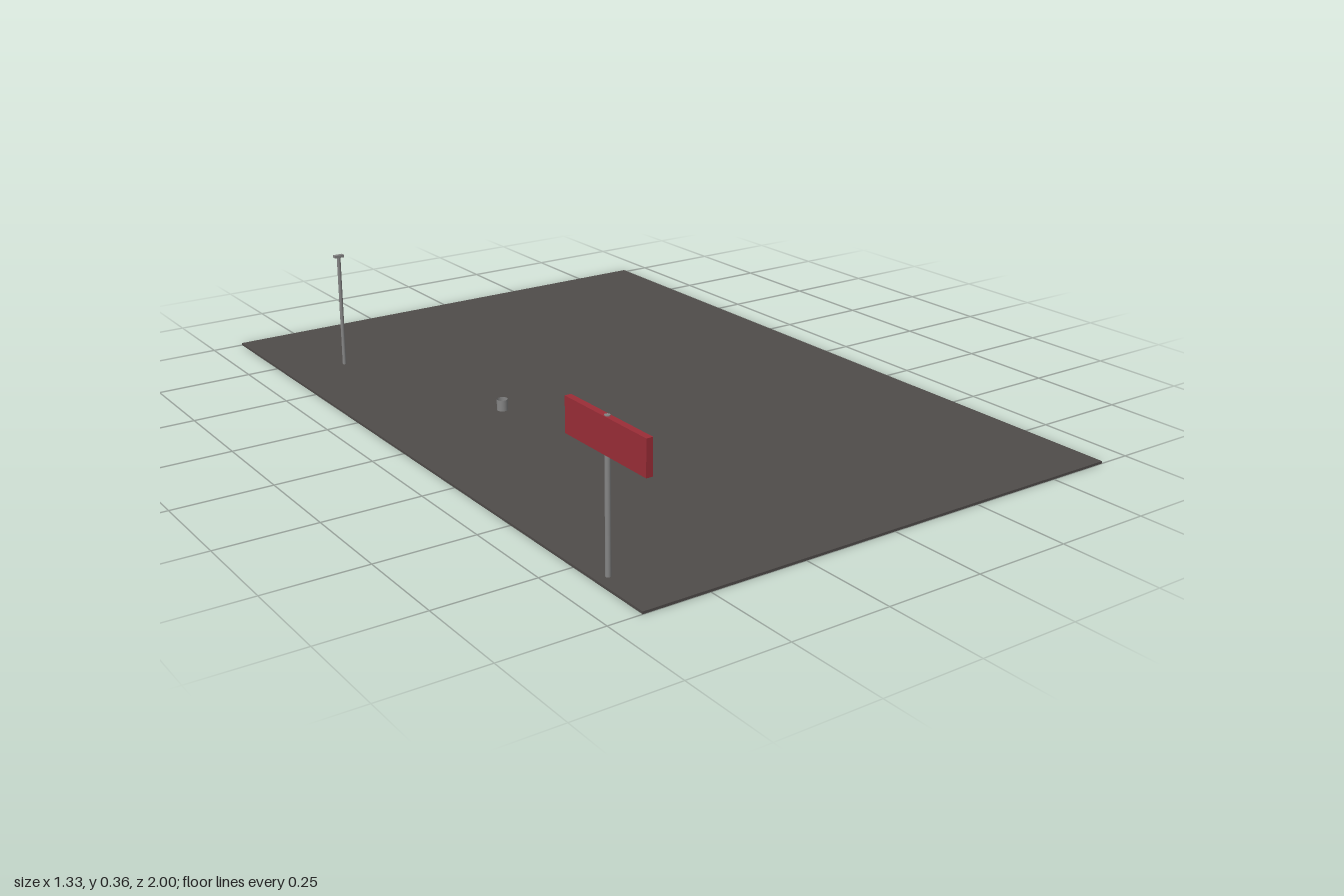
import * as THREE from 'three';

const mat = (name, color, side = THREE.FrontSide) => {
  const m = new THREE.MeshStandardMaterial({ color, side });
  m.name = name;
  return m;
};

export function createModel() {
  const asphalt = mat('asphalt', 0x504c4a);
  const red = mat('signRed', 0x9b2d37);
  const grey = mat('metalGrey', 0x858585, THREE.DoubleSide);

  const model = new THREE.Group();
  model.name = 'parkingLot';
  const TOP = 0.006; // upper surface of the ground slab

  const add = (parent, name, geometry, material, x, y, z) => {
    const mesh = new THREE.Mesh(geometry, material);
    mesh.name = name;
    mesh.position.set(x, y, z);
    parent.add(mesh);
  };
  const group = (name, x, z) => {
    const g = new THREE.Group();
    g.name = name;
    g.position.set(x, 0, z);
    model.add(g);
    return g;
  };
  // Upright round pole standing on the ground
  const pole = (parent, name, radius, top) =>
    add(parent, name, new THREE.CylinderGeometry(radius, radius, top - TOP, 16),
      grey, 0, (top + TOP) / 2, 0);

  // Ground slab
  add(model, 'ground', new THREE.BoxGeometry(1.333, TOP, 2), asphalt, 0, TOP / 2, 0);

  // Roadside sign, its post just showing above the panel
  const sign = group('sign', -0.636, 0.835);
  pole(sign, 'signPost', 0.0065, 0.357);
  add(sign, 'signPanel', new THREE.BoxGeometry(0.016, 0.082, 0.287), red, 0, 0.314, 0);

  // Lamp with a small flat head
  const lamp = group('lamp', -0.503, -0.667);
  pole(lamp, 'lampPost', 0.005, 0.313);
  add(lamp, 'lampHead', new THREE.BoxGeometry(0.026, 0.007, 0.013), grey, 0, 0.315, 0);

  // Open-topped bin
  const bin = group('bin', -0.326, -0.109);
  add(bin, 'binWall', new THREE.CylinderGeometry(0.0145, 0.0145, 0.029, 20, 1, true),
    grey, 0, TOP + 0.0145, 0);

  return model;
}
